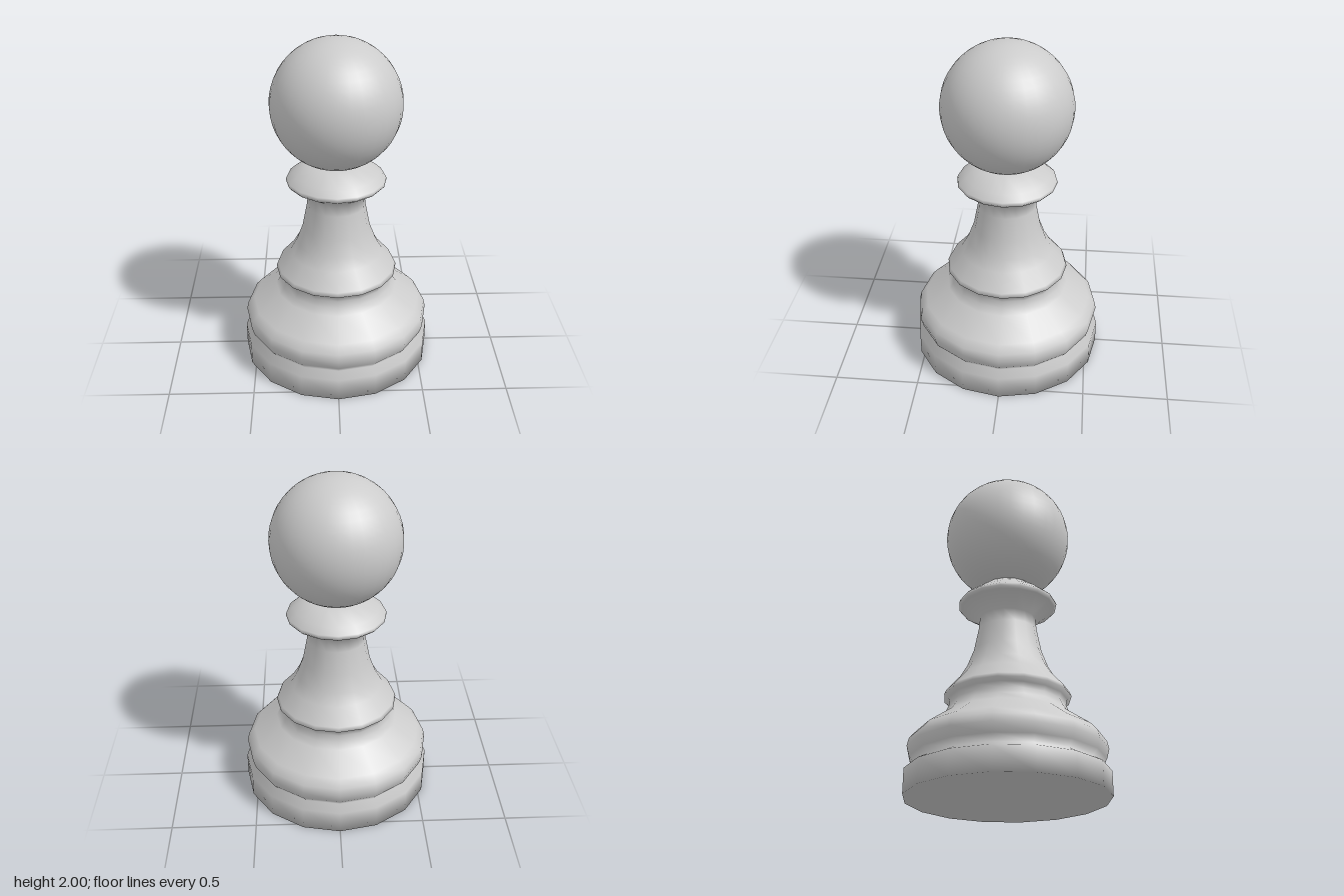
import * as THREE from 'three';

const SIDES = 16;

export function createModel() {
  const model = new THREE.Group();
  const material = new THREE.MeshStandardMaterial({ color: 0xcccccc });

  const add = (name, geometry, y = 0) => {
    const mesh = new THREE.Mesh(geometry, material);
    mesh.name = name;
    mesh.position.y = y;
    model.add(mesh);
  };

  // Turned body, profile as [radius, height] from the underside up
  const profile = [
    // plinth and groove
    [0, 0], [0.57, 0], [0.57, 0.138], [0.517, 0.167],
    // rounded foot
    [0.545, 0.205], [0.56, 0.26], [0.55, 0.305], [0.51, 0.35],
    // shoulder and neck of the foot
    [0.37, 0.45], [0.345, 0.49], [0.332, 0.525], [0.34, 0.557],
    // skirt ring
    [0.365, 0.575], [0.355, 0.6],
    // flared stem
    [0.277, 0.69], [0.237, 0.76], [0.2, 0.86], [0.173, 1.0], [0.166, 1.075],
    // collar
    [0.28, 1.145], [0.293, 1.16], [0.288, 1.176], [0.25, 1.21], [0.155, 1.28],
    // closed top, tucked inside the head
    [0, 1.28],
  ].map(([r, y]) => new THREE.Vector2(r, y));
  add('body', new THREE.LatheGeometry(profile, SIDES));

  // Ball head
  add('head', new THREE.SphereGeometry(0.375, 32, 24), 1.625);

  return model;
}
